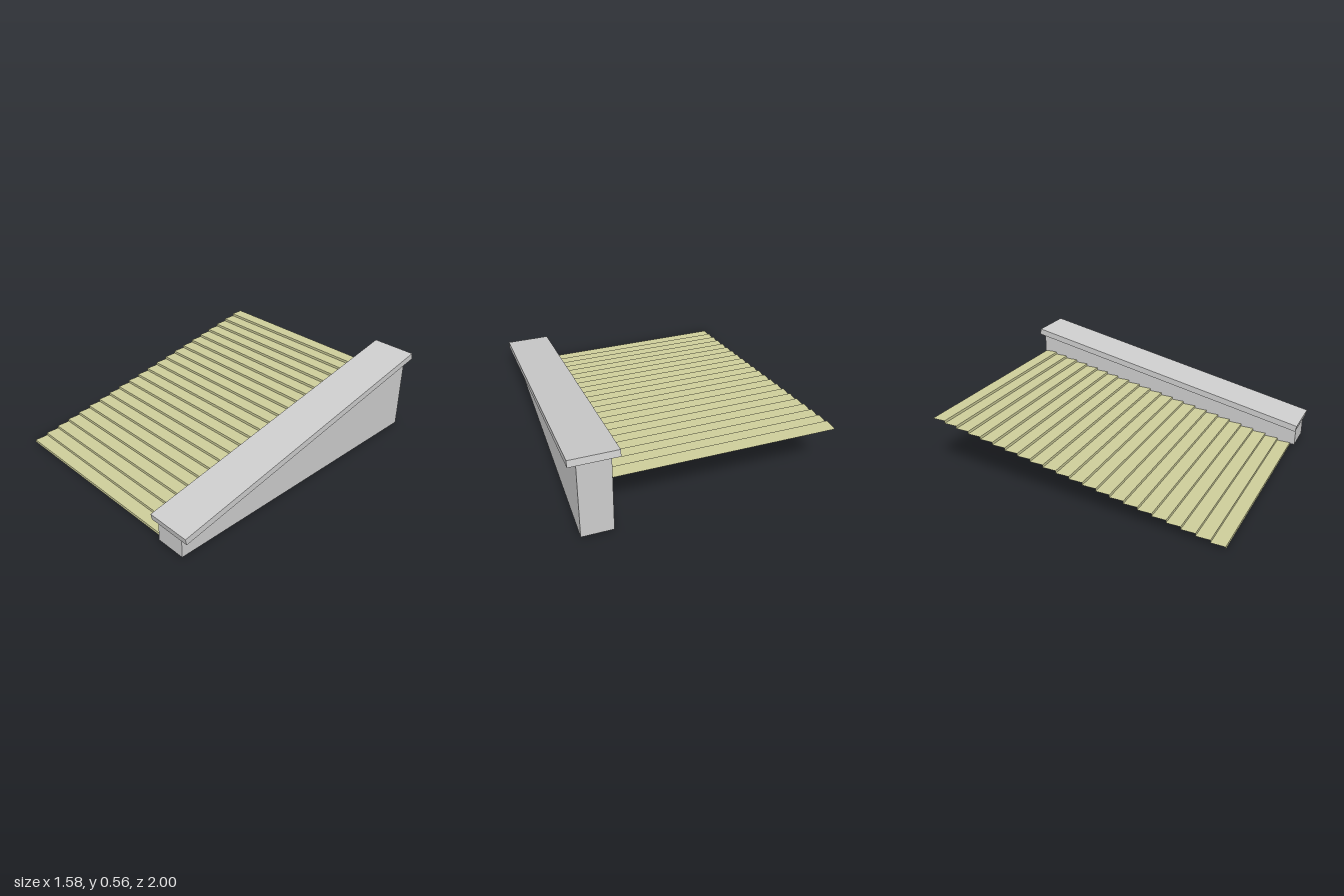
import * as THREE from 'three';

const grey = new THREE.MeshStandardMaterial({ color: 0xcccccc, flatShading: true, side: THREE.DoubleSide });
const roofing = new THREE.MeshStandardMaterial({ color: 0xcccc99, flatShading: true, side: THREE.DoubleSide });

function part(name, geometry, material) {
  const mesh = new THREE.Mesh(geometry, material);
  mesh.name = name;
  return mesh;
}

// Extrudes a (z, y) outline along x, from x0 to x1
function extrudeAcross(outline, x0, x1) {
  const shape = new THREE.Shape(outline.map(([z, y]) => new THREE.Vector2(-z, y)));
  const geometry = new THREE.ExtrudeGeometry(shape, { depth: x1 - x0, bevelEnabled: false });
  return geometry.rotateY(Math.PI / 2).translate(x0, 0, 0);
}

// Thin stepped sheet: one riser and one level tread per course
function steppedSheet(x0, x1, zFront, zBack, height, courses) {
  const profile = [[zFront, 0]];
  for (let i = 0; i < courses; i++) {
    const y = (height * (i + 1)) / courses;
    profile.push([THREE.MathUtils.lerp(zFront, zBack, i / courses), y]);
    profile.push([THREE.MathUtils.lerp(zFront, zBack, (i + 1) / courses), y]);
  }
  const positions = [];
  const index = [];
  profile.forEach(([z, y], i) => {
    positions.push(x0, y, z, x1, y, z);
    if (i > 0) {
      const a = 2 * (i - 1);
      index.push(a, a + 1, a + 3, a, a + 3, a + 2);
    }
  });
  const geometry = new THREE.BufferGeometry();
  geometry.setAttribute('position', new THREE.Float32BufferAttribute(positions, 3));
  geometry.setIndex(index);
  const flat = geometry.toNonIndexed();
  flat.computeVertexNormals();
  return flat;
}

// Wall with a sloping top and an open bottom
function wedgeWall(x0, x1, zHalf, yBottom, yFront, yBack) {
  const geometry = new THREE.BoxGeometry(x1 - x0, 1, 2 * zHalf);
  const p = geometry.attributes.position;
  for (let i = 0; i < p.count; i++) {
    const top = p.getZ(i) > 0 ? yFront : yBack;
    p.setY(i, p.getY(i) > 0 ? top : yBottom);
  }
  // Leave out the downward face
  const index = Array.from(geometry.index.array);
  index.splice(18, 6);
  geometry.setIndex(index);
  geometry.clearGroups();
  geometry.translate((x0 + x1) / 2, 0, 0);
  geometry.computeVertexNormals();
  return geometry;
}

export function createModel() {
  const model = new THREE.Group();
  model.name = 'roofSection';

  model.add(part('roofCourses', steppedSheet(-0.79, 0.575, 0.955, -0.98, 0.376, 22), roofing));
  model.add(part('parapetWall', wedgeWall(0.545, 0.738, 0.986, 0.01, 0.133, 0.518), grey));

  // Sloping slab on top of the wall, with ends square to the slope
  const coping = [[0.992, 0.131], [1, 0.172], [-0.992, 0.561], [-1, 0.52]];
  model.add(part('coping', extrudeAcross(coping, 0.498, 0.786), grey));

  return model;
}
